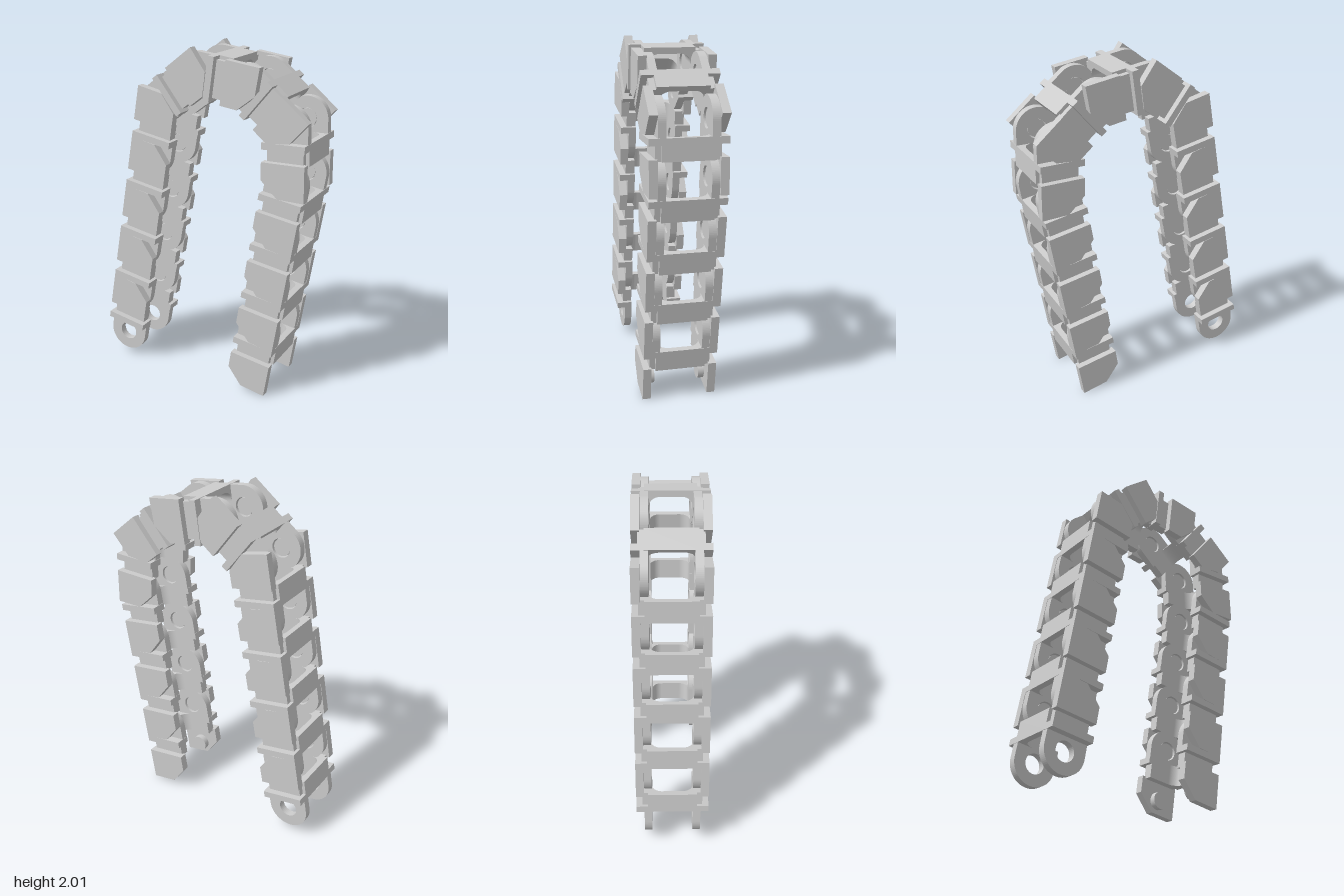
import * as THREE from 'three';

const PITCH = 0.307; // distance between pivots
const HALF = 0.125;  // half the link height
const material = new THREE.MeshStandardMaterial({ color: 0xcccccc });

function part(geometry, name) {
  const mesh = new THREE.Mesh(geometry, material);
  mesh.name = name;
  return mesh;
}

// Box from minimum and maximum corners
function box(x0, x1, y0, y1, z0, z1) {
  return new THREE.BoxGeometry(x1 - x0, y1 - y0, z1 - z0)
    .translate((x0 + x1) / 2, (y0 + y1) / 2, (z0 + z1) / 2);
}

function slab(shape, z0, z1) {
  return new THREE.ExtrudeGeometry(shape, { depth: z1 - z0, bevelEnabled: false, curveSegments: 20 })
    .translate(0, 0, z0);
}

// Rounded tongue with the pivot hole at the origin
function tongueGeometry() {
  const r = HALF - 0.002;
  const s = new THREE.Shape();
  s.moveTo(0.1, -r);
  s.lineTo(0.1, r);
  s.lineTo(0, r);
  s.absarc(0, 0, r, Math.PI / 2, Math.PI * 1.5, false);
  s.closePath();
  const hole = new THREE.Path();
  hole.absarc(0, 0, 0.056, 0, Math.PI * 2, true);
  s.holes.push(hole);
  return slab(s, 0.12, 0.164);
}

// Outer plate, chamfered on the inside of the bend
function plateGeometry() {
  const s = new THREE.Shape();
  s.moveTo(0.186, -HALF);
  s.lineTo(0.287, -HALF);
  s.lineTo(0.382, -0.03);
  s.lineTo(0.387, HALF);
  s.lineTo(0.186, HALF);
  s.closePath();
  return slab(s, 0.165, 0.212);
}

// Cross bar with a filleted underside, extruded along the link
function barGeometry() {
  const w = 0.143, i = 0.12, r = 0.06, ceiling = 0.09;
  const s = new THREE.Shape();
  s.moveTo(-w, 0);
  s.lineTo(-i, 0);
  s.lineTo(-i, ceiling - r);
  s.absarc(-i + r, ceiling - r, r, Math.PI, Math.PI / 2, true);
  s.lineTo(i - r, ceiling);
  s.absarc(i - r, ceiling - r, r, Math.PI / 2, 0, true);
  s.lineTo(i, 0);
  s.lineTo(w, 0);
  s.lineTo(w, HALF);
  s.lineTo(-w, HALF);
  s.closePath();
  return slab(s, 0, 0.122).rotateY(Math.PI / 2).translate(0.078, 0, 0);
}

const sideParts = [
  ['tongue', tongueGeometry()],
  ['rib', box(0.078, 0.116, -HALF, HALF, 0.12, 0.212)],
  ['neck', box(0.11, 0.2, -0.105, 0.105, 0.12, 0.175)],
  ['outerPlate', plateGeometry()],
  ['pivotPin', new THREE.CylinderGeometry(0.051, 0.051, 0.04, 28)
    .rotateX(Math.PI / 2).translate(PITCH, 0, 0.15)],
];
const crossBar = barGeometry();

// Same outline on the opposite side, with winding kept outward
function mirrored(geometry) {
  const g = geometry.index ? geometry.toNonIndexed() : geometry.clone();
  g.scale(1, 1, -1);
  for (const key of ['position', 'normal']) {
    const a = g.attributes[key];
    const p = new THREE.Vector3(), q = new THREE.Vector3();
    for (let i = 0; i < a.count; i += 3) {
      p.fromBufferAttribute(a, i + 1);
      q.fromBufferAttribute(a, i + 2);
      a.setXYZ(i + 1, q.x, q.y, q.z);
      a.setXYZ(i + 2, p.x, p.y, p.z);
    }
  }
  return g;
}
const mirroredParts = sideParts.map(([name, g]) => [name, mirrored(g)]);

function createLink() {
  const link = new THREE.Group();
  link.name = 'chainLink';
  link.add(part(crossBar, 'crossBar'));
  for (const [name, g] of sideParts) link.add(part(g, name + 'Front'));
  for (const [name, g] of mirroredParts) link.add(part(g, name + 'Back'));
  return link;
}

export function createModel() {
  const model = new THREE.Group();
  model.name = 'cableChain';
  // Direction of each link in degrees, up one side and down the other
  const angles = [79.7, 79.7, 79.7, 79.7, 79.7, 37.5, -8, -40, -89, -99, -99, -99, -99];
  let x = -0.54, y = 0.161;
  for (const degrees of angles) {
    const a = THREE.MathUtils.degToRad(degrees);
    const link = createLink();
    link.position.set(x, y, 0);
    link.rotation.z = a;
    model.add(link);
    x += PITCH * Math.cos(a);
    y += PITCH * Math.sin(a);
  }
  return model;
}
